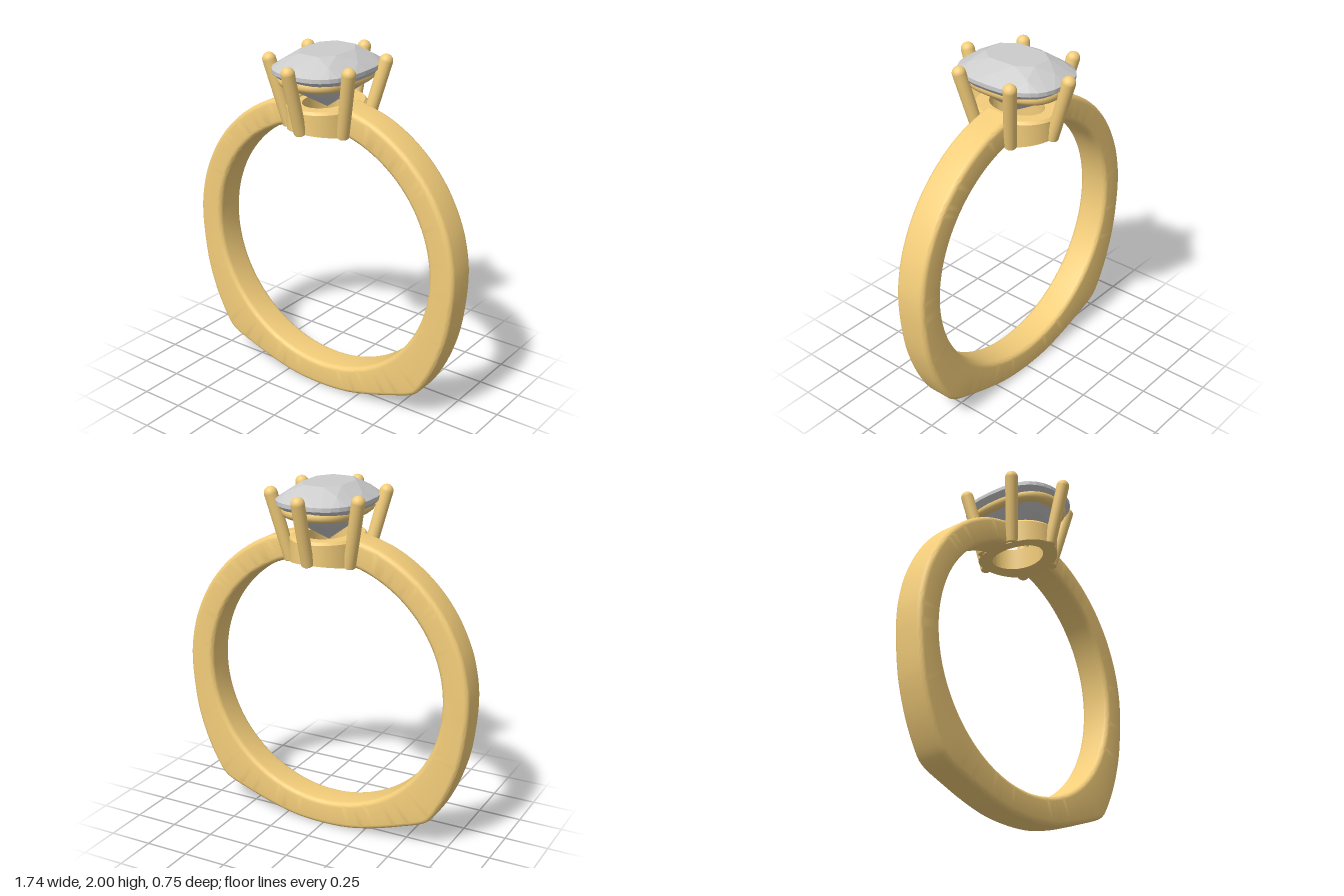
import * as THREE from 'three';
import { toCreasedNormals } from 'three/addons/utils/BufferGeometryUtils.js';
import { ConvexGeometry } from 'three/addons/geometries/ConvexGeometry.js';

const CY = 0.875;       // height of the finger hole's centre
const R_IN = 0.72;      // finger hole radius
const gold = new THREE.MeshStandardMaterial({ color: 0xf3cd7a });
const stoneMat = new THREE.MeshStandardMaterial({ color: 0xcccccc, flatShading: true });

// Skins a list of equal-length closed cross-sections
function loft(rows) {
  const n = rows[0].length;
  const index = [];
  for (let i = 0; i < rows.length - 1; i++) {
    for (let j = 0; j < n; j++) {
      const k = (j + 1) % n;
      const a = i * n + j, b = a + n, c = i * n + k, d = c + n;
      index.push(a, b, c, b, d, c);
    }
  }
  const geo = new THREE.BufferGeometry().setFromPoints(rows.flat());
  geo.setIndex(index);
  return toCreasedNormals(geo, 0.7);
}

// Point on a cushion-shaped (superelliptic) outline
function cushion(angle, rx, rz, y, power = 2.6) {
  const c = Math.cos(angle), s = Math.sin(angle);
  const bend = (v) => Math.sign(v) * Math.abs(v) ** (2 / power);
  return new THREE.Vector3(rx * bend(c), y, rz * bend(s));
}

function cushionRing(n, rx, rz, y, offset = 0) {
  return Array.from({ length: n }, (_, i) => cushion(((i + offset) / n) * Math.PI * 2, rx, rz, y));
}

// Band: rounded-rectangle section between the finger hole and the outer outline
function bandGeometry() {
  const half = [80, 65, 50, 35, 20, 8].map((deg) => {
    const a = THREE.MathUtils.degToRad(deg);
    return [0.87 * Math.cos(a), CY + 0.87 * Math.sin(a)];
  });
  half.push([0.87, 0.875], [0.86, 0.72], [0.835, 0.56], [0.785, 0.4], [0.735, 0.29],
    [0.685, 0.205], [0.66, 0.175], [0.62, 0.15], [0.5, 0.105], [0.35, 0.055], [0.18, 0.015]);
  const mirrored = half.map(([x, y]) => [-x, y]).reverse();
  const outline = new THREE.CatmullRomCurve3(
    [...half, [0, 0.003], ...mirrored].map(([x, y]) => new THREE.Vector3(x, y, 0)));

  const halfWidth = 0.093, fillet = 0.028, steps = 5;
  const rows = outline.getSpacedPoints(220).map((p) => {
    const a = Math.atan2(p.y - CY, p.x);
    const rOut = Math.hypot(p.x, p.y - CY);
    const row = [];
    [[1, 1], [1, -1], [0, -1], [0, 1]].forEach(([outer, side], corner) => {
      const cr = outer ? rOut - fillet : R_IN + fillet;
      const cz = side * (halfWidth - fillet);
      for (let s = 0; s <= steps; s++) {
        const t = (Math.PI / 2) * (1 - corner - s / steps);
        const r = cr + fillet * Math.cos(t);
        row.push(new THREE.Vector3(r * Math.cos(a), CY + r * Math.sin(a), cz + fillet * Math.sin(t)));
      }
    });
    return row;
  });
  // Close both ends
  const cap = (row) => {
    const mid = row.reduce((sum, p) => sum.add(p), new THREE.Vector3()).divideScalar(row.length);
    return row.map(() => mid.clone());
  };
  return loft([cap(rows[0]), ...rows, cap(rows[rows.length - 1])]);
}

// Basket: oval collar whose underside follows the finger hole
function basketGeometry() {
  const rows = [];
  for (let i = 0; i <= 72; i++) {
    const a = (i / 72) * Math.PI * 2;
    const at = (rx, rz, y) => {
      const x = rx * Math.cos(a);
      return new THREE.Vector3(x, y ?? CY + Math.sqrt(R_IN * R_IN - x * x), rz * Math.sin(a));
    };
    rows.push([
      at(0.187, 0.232, 1.72), at(0.2, 0.245, 1.705), at(0.2, 0.245),
      at(0.115, 0.165), at(0.115, 0.165, 1.72),
    ]);
  }
  return loft(rows);
}

// Prong: tapered rod with a domed tip, leaning from base to tip
function makeProng(base, tip) {
  const axis = tip.clone().sub(base);
  const r = 0.037;
  const shaft = axis.length() - r;
  const profile = [new THREE.Vector2(0, 0), new THREE.Vector2(0.03, 0), new THREE.Vector2(0.034, 0.005)];
  for (let i = 0; i <= 8; i++) {
    const t = (i / 8) * (Math.PI / 2);
    profile.push(new THREE.Vector2(r * Math.cos(t), shaft + r * Math.sin(t)));
  }
  const prong = new THREE.Mesh(new THREE.LatheGeometry(profile, 24), gold);
  prong.position.copy(base);
  prong.quaternion.setFromUnitVectors(new THREE.Vector3(0, 1, 0), axis.normalize());
  return prong;
}

// Stone: faceted cushion cut
function stoneGeometry() {
  return new ConvexGeometry([
    ...cushionRing(8, 0.125, 0.175, 2.0, 0.5),
    ...cushionRing(8, 0.195, 0.25, 1.962),
    ...cushionRing(32, 0.245, 0.31, 1.92),
    ...cushionRing(32, 0.245, 0.31, 1.898),
    ...cushionRing(8, 0.155, 0.2, 1.8, 0.5),
    new THREE.Vector3(0, 1.685, 0),
  ]);
}

export function createModel() {
  const model = new THREE.Group();
  model.name = 'ring';
  const add = (name, geometry, material) => {
    const mesh = new THREE.Mesh(geometry, material);
    mesh.name = name;
    model.add(mesh);
  };

  add('band', bandGeometry(), gold);
  add('basket', basketGeometry(), gold);

  // Gallery rail under the stone
  const rail = new THREE.CatmullRomCurve3(cushionRing(48, 0.183, 0.258, 1.862), true);
  add('galleryRail', new THREE.TubeGeometry(rail, 96, 0.034, 14, true), gold);

  // Six prongs: one at each end, two on each side
  const prongs = new THREE.Group();
  prongs.name = 'prongs';
  for (const sz of [1, -1]) {
    const end = makeProng(new THREE.Vector3(0, 1.594, sz * 0.237), new THREE.Vector3(0, 1.975, sz * 0.347));
    end.name = sz > 0 ? 'frontProng' : 'backProng';
    prongs.add(end);
    for (const sx of [1, -1]) {
      const side = makeProng(
        new THREE.Vector3(sx * 0.178, 1.575, sz * 0.105),
        new THREE.Vector3(sx * 0.266, 1.975, sz * 0.174));
      side.name = (sx > 0 ? 'left' : 'right') + (sz > 0 ? 'Front' : 'Back') + 'Prong';
      prongs.add(side);
    }
  }
  model.add(prongs);

  add('stone', stoneGeometry(), stoneMat);
  return model;
}
